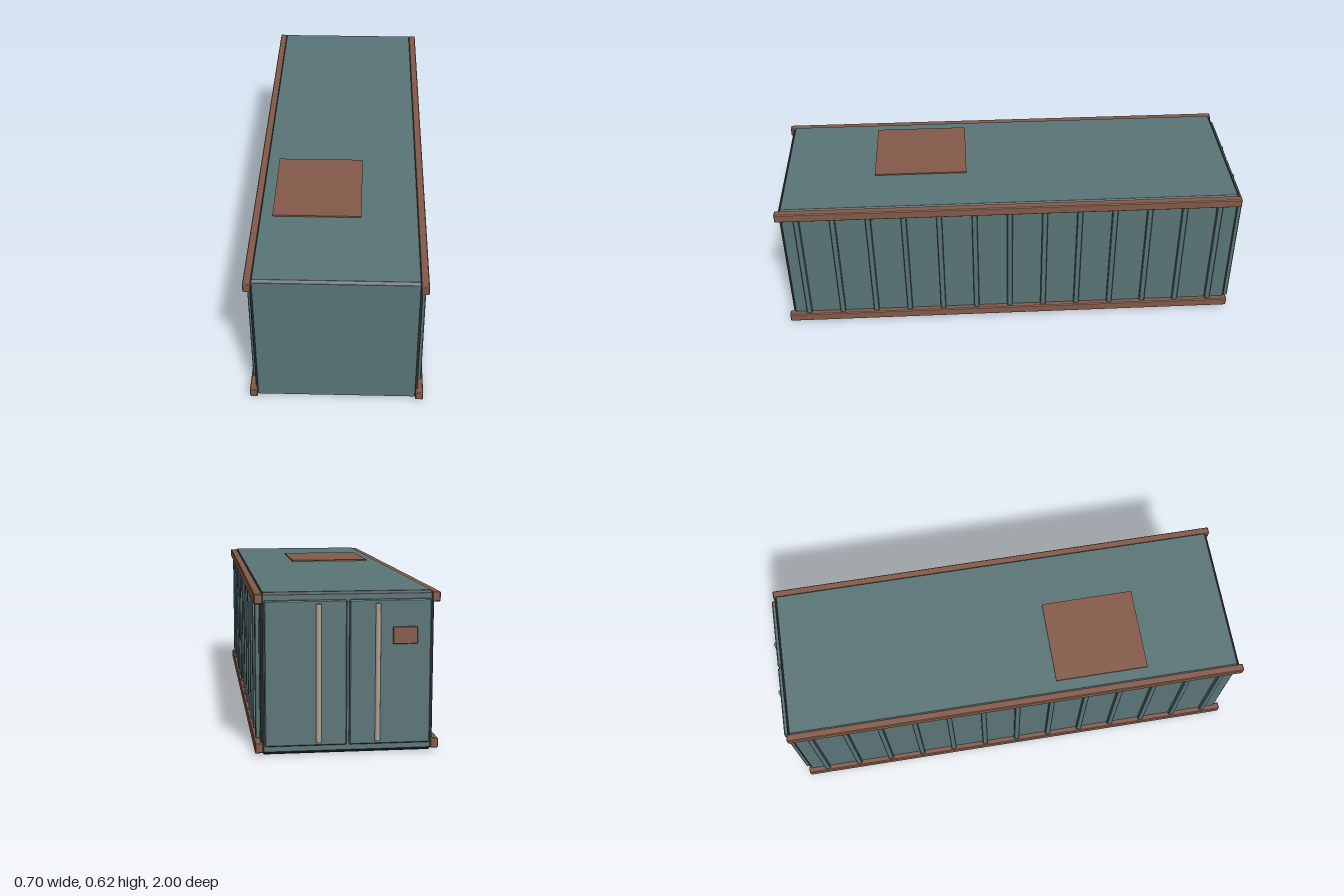
import * as THREE from 'three';
import { ConvexGeometry } from 'three/addons/geometries/ConvexGeometry.js';

const mat = (name, color) => {
  const m = new THREE.MeshStandardMaterial({ color });
  m.name = name;
  return m;
};

// Box given by its limits, with every edge cut by chamfer c
function chamferBox(x0, x1, y0, y1, z0, z1, c) {
  const pts = [];
  for (const [x, sx] of [[x0, 1], [x1, -1]])
    for (const [y, sy] of [[y0, 1], [y1, -1]])
      for (const [z, sz] of [[z0, 1], [z1, -1]])
        pts.push(
          new THREE.Vector3(x, y + sy * c, z + sz * c),
          new THREE.Vector3(x + sx * c, y, z + sz * c),
          new THREE.Vector3(x + sx * c, y + sy * c, z));
  return new ConvexGeometry(pts);
}

function plainBox(x0, x1, y0, y1, z0, z1) {
  return new THREE.BoxGeometry(x1 - x0, y1 - y0, z1 - z0)
    .translate((x0 + x1) / 2, (y0 + y1) / 2, (z0 + z1) / 2);
}

export function createModel() {
  const teal = mat('teal paint', 0x5a7577);
  const slate = mat('slate underside', 0x536569);
  const rust = mat('rust brown', 0x855a49);
  const dark = mat('dark frame', 0x2a3032);
  const steel = mat('pale steel', 0xb0a495);

  const model = new THREE.Group();
  model.name = 'cargoContainer';
  const add = (name, geometry, material) => {
    const mesh = new THREE.Mesh(geometry, material);
    mesh.name = name;
    model.add(mesh);
  };

  // Dark core, visible only along its chamfered edges
  add('core', chamferBox(-0.325, 0.325, 0.002, 0.611, -0.97, 0.984, 0.01), dark);

  // Painted skins on the flat faces
  add('frontPanel', plainBox(-0.315, 0.315, 0.012, 0.602, 0.98, 0.985), teal);
  add('backPanel', plainBox(-0.315, 0.315, 0.012, 0.602, -0.971, -0.966), teal);
  add('roofPanel', plainBox(-0.315, 0.315, 0.607, 0.612, -0.96, 0.974), teal);
  add('underside', plainBox(-0.315, 0.315, 0, 0.006, -0.96, 0.974), slate);

  for (const s of [-1, 1]) {
    const side = s > 0 ? 'left' : 'right';
    const span = (a, b) => (s > 0 ? [a, b] : [-b, -a]);

    add(side + 'SidePanel', plainBox(...span(0.32, 0.326), 0.012, 0.602, -0.96, 0.974), teal);

    // Long rails along the top and bottom edges
    add(side + 'BottomRail', chamferBox(...span(0.317, 0.348), 0.009, 0.047, -0.976, 1, 0.003), rust);
    add(side + 'TopRail', chamferBox(...span(0.317, 0.348), 0.569, 0.607, -0.976, 1, 0.003), rust);

    // Upright ribs
    for (let i = 0; i < 13; i++) {
      const z = 0.913 - i * 0.15;
      add(side + 'Rib' + (i + 1),
        chamferBox(...span(0.31, 0.341), 0.047, 0.571, z - 0.012, z + 0.012, 0.003), teal);
    }

    // Door leaf with its locking bar
    add(side + 'Door', chamferBox(...span(0.005, 0.312), 0.035, 0.582, -0.988, -0.966, 0.004), teal);
    add(side + 'LockingBar',
      new THREE.CylinderGeometry(0.01, 0.01, 0.52, 12).translate(s * 0.111, 0.308, -0.988), steel);
  }

  add('doorPlate', chamferBox(-0.258, -0.166, 0.416, 0.48, -1, -0.984, 0.002), rust);

  // Replacement sheet on the roof
  add('roofPatch', plainBox(-0.268, 0.09, 0.613, 0.619, 0.19, 0.59), rust);

  return model;
}
